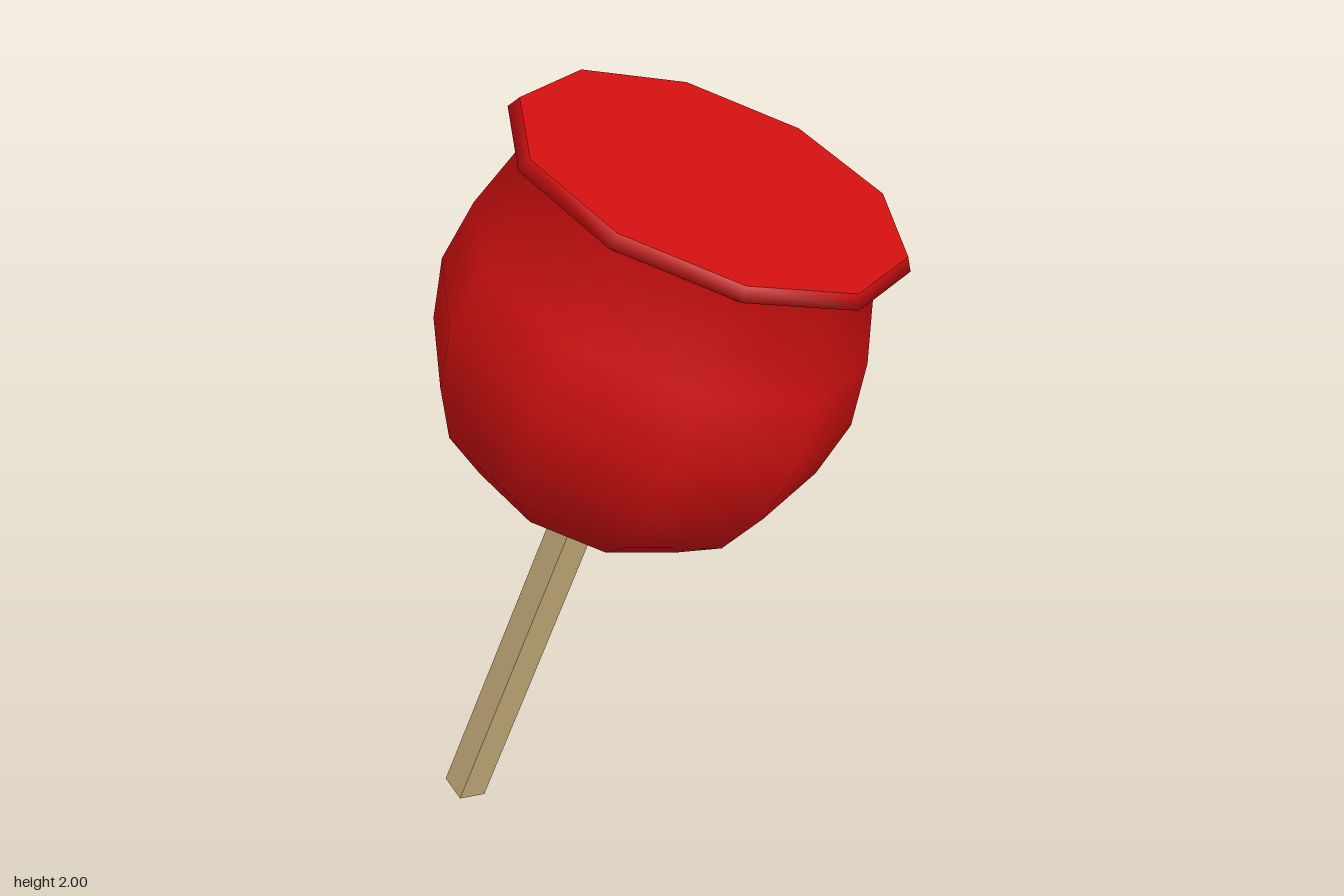
import * as THREE from 'three';

export function createModel() {
  const model = new THREE.Group();
  model.name = 'candyApple';

  // Everything shares one axis, tilted towards +x
  const tilted = new THREE.Group();
  tilted.name = 'tiltedApple';
  tilted.position.set(-0.536, 0.02, 0);
  tilted.rotation.z = -THREE.MathUtils.degToRad(20);
  model.add(tilted);

  const red = new THREE.MeshStandardMaterial({ color: 0xd01010 });
  const wood = new THREE.MeshStandardMaterial({ color: 0xc8ae7c, flatShading: true });
  const sides = 10;

  const add = (name, geometry, material) => {
    const mesh = new THREE.Mesh(geometry, material);
    mesh.name = name;
    tilted.add(mesh);
    return mesh;
  };

  // Apple body with a small dimple below and a flared candy lip on top
  const profile = [
    [0, 1.06], [0.06, 1.05], [0.195, 1.008], [0.313, 1.06], [0.43, 1.165],
    [0.5, 1.308], [0.528, 1.467], [0.501, 1.637], [0.428, 1.861],
    [0.501, 1.898], [0.482, 1.93],
  ].map(([r, y]) => new THREE.Vector2(r, y));
  add('appleBody', new THREE.LatheGeometry(profile, sides, Math.PI / 2), red);

  // Flat candy top
  const top = add('candyTop', new THREE.CircleGeometry(0.482, sides), red);
  top.rotation.x = -Math.PI / 2;
  top.position.y = 1.93;

  // Square stick, set corner forward
  const stick = add('stick', new THREE.CylinderGeometry(0.056, 0.056, 1.1, 4), wood);
  stick.position.y = 0.55;

  return model;
}
